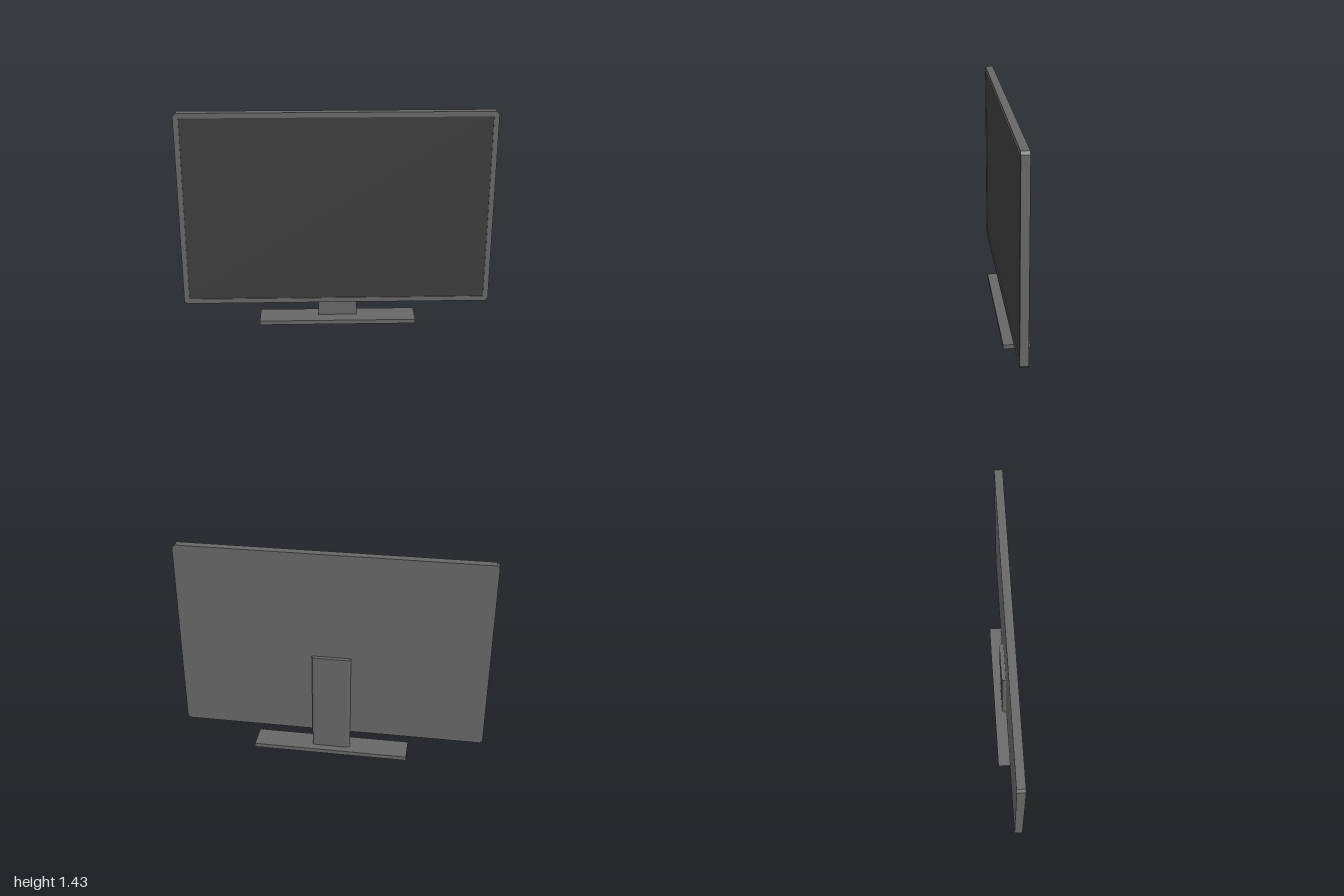
import * as THREE from 'three';

const bodyMat = new THREE.MeshStandardMaterial({ color: 0x666666, flatShading: true });
const screenMat = new THREE.MeshStandardMaterial({ color: 0x3c3c3c, flatShading: true });

// Rectangle outline with cut corners
function cutRect(w, h, c) {
  const x = w / 2, y = h / 2;
  return new THREE.Shape([
    [-x + c, -y], [x - c, -y], [x, -y + c], [x, y - c],
    [x - c, y], [-x + c, y], [-x, y - c], [-x, -y + c],
  ].map(([a, b]) => new THREE.Vector2(a, b)));
}

function add(group, name, geometry, material, x, y, z) {
  const mesh = new THREE.Mesh(geometry, material);
  mesh.name = name;
  mesh.position.set(x, y, z);
  group.add(mesh);
  return mesh;
}

const extrude = (shape, depth) =>
  new THREE.ExtrudeGeometry(shape, { depth, bevelEnabled: false, curveSegments: 3 });

export function createModel() {
  const model = new THREE.Group();
  model.name = 'flatScreenMonitor';

  const midY = 0.786, back = -0.008, front = 0.044, recess = 0.006;
  const width = 2, height = 1.288, cut = 0.017;
  const screenW = 1.934, screenH = 1.224;

  // Back housing, up to the level of the recessed screen
  add(model, 'housing', extrude(cutRect(width, height, cut), front - recess - back), bodyMat, 0, midY, back);

  // Bezel ring standing proud of the screen
  const ring = cutRect(width, height, cut);
  const sx = screenW / 2, sy = screenH / 2;
  ring.holes.push(new THREE.Path([
    new THREE.Vector2(-sx, -sy), new THREE.Vector2(-sx, sy),
    new THREE.Vector2(sx, sy), new THREE.Vector2(sx, -sy),
  ]));
  add(model, 'bezel', extrude(ring, recess), bodyMat, 0, midY, front - recess);

  // Display surface
  add(model, 'screen', new THREE.PlaneGeometry(screenW, screenH), screenMat, 0, midY, front - recess + 0.001);

  // Neck: upright slab with rounded rear edges (shape y becomes -z)
  const hw = 0.127, d = 0.035, r = 0.024;
  const neck = new THREE.Shape();
  neck.moveTo(-hw, 0);
  neck.lineTo(hw, 0);
  neck.lineTo(hw, d - r);
  neck.quadraticCurveTo(hw, d, hw - r, d);
  neck.lineTo(-hw + r, d);
  neck.quadraticCurveTo(-hw, d, -hw, d - r);
  neck.closePath();
  const neckGeo = extrude(neck, 0.684).rotateX(-Math.PI / 2);
  add(model, 'neck', neckGeo, bodyMat, 0.006, 0.027, 0);

  // Foot plate
  add(model, 'base', new THREE.BoxGeometry(1.026, 0.028, 0.17), bodyMat, 0.006, 0.014, 0);

  return model;
}
